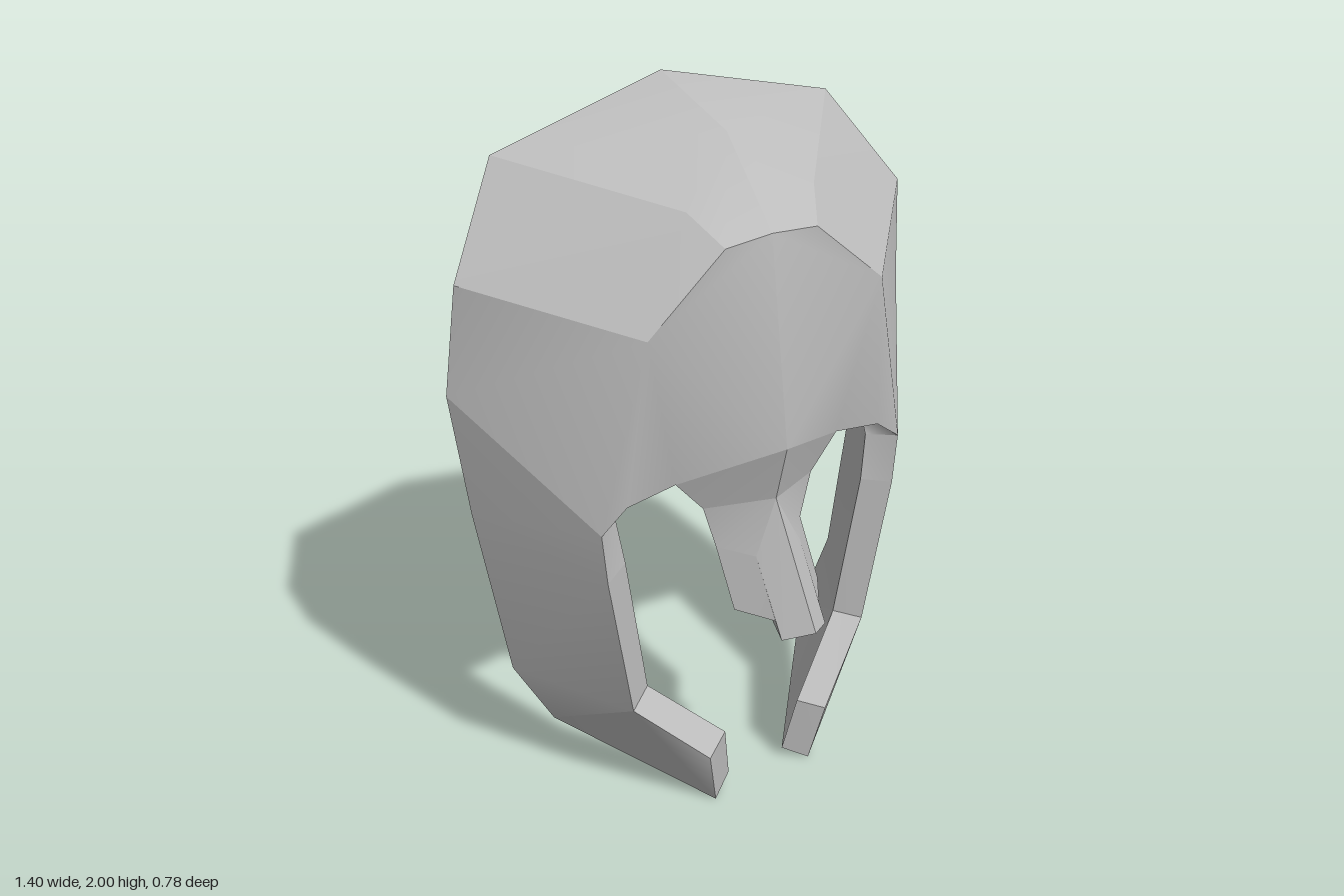
import * as THREE from 'three';

const THICKNESS = 0.09;

// Corners of the left half of the shell
const P = {
  // crown, from the back edge to the forehead
  top: [0, 2, -0.35], crown: [0, 1.93, -0.04], brow: [0, 1.74, 0.16],
  browSide: [0.13, 1.73, 0.16], crownSide: [0.18, 1.8, 0.07], temple: [0.34, 1.545, 0.155],
  // back edge
  b1: [0.49, 1.88, -0.32], b2: [0.66, 1.63, -0.2], b3: [0.7, 1.33, -0.23],
  b4: [0.67, 0.97, -0.23], b5: [0.6, 0.42, -0.235], b6: [0.49, 0.185, -0.23],
  // eye opening and front edge of the cheek
  eyeIn: [0.25, 1.1, 0.11], eyeTop: [0.39, 1.08, 0.11], eyeOut: [0.465, 1.02, 0.11],
  k1: [0.455, 0.87, 0.11], k2: [0.39, 0.4, 0.09], k3: [0.2, 0.2, 0.18], k4: [0.165, 0, 0.15],
  // nose guard
  bridge: [0, 1.19, 0.24], nose: [0, 1.02, 0.195], tip: [0, 0.705, 0.39],
  n1: [0.17, 1, 0.11], n2: [0.135, 0.87, 0.115], n3: [0.135, 0.72, 0.205],
  w2: [0.07, 0.87, 0.21], w3: [0.07, 0.72, 0.305], w4: [0.07, 0.675, 0.335],
};

// Inner corners along the back edge, chin and nose tip, where the rim is cut at its own angle
const CUT = {
  top: [0, 1.91, -0.39], b1: [0.44, 1.81, -0.37], b2: [0.6, 1.6, -0.28], b3: [0.64, 1.33, -0.305],
  b4: [0.605, 0.97, -0.28], b5: [0.53, 0.42, -0.28], b6: [0.43, 0.21, -0.28],
  k3: [0.125, 0.235, 0.14], k4: [0.095, 0.04, 0.11],
  tip: [0, 0.7, 0.3], w4: [0.05, 0.685, 0.26], w3: [0.05, 0.69, 0.22], n3: [0.09, 0.685, 0.15],
};

// Parts are lists of patches; a patch is a list of polygons shaded smoothly together
const PARTS = {
  crown: [
    ['top crown b1', 'crown crownSide b1', 'crown brow browSide crownSide'],
    ['crownSide temple b2 b1', 'crownSide browSide temple'],
  ],
  forehead: [['temple eyeOut b3 b2', 'temple browSide brow bridge eyeIn eyeTop eyeOut']],
  cheekGuard: [
    ['eyeOut k1 b4 b3', 'k1 k2 b5 b4', 'k2 b6 b5'],
    ['k2 k3 k4 b6'],
  ],
  noseGuard: [
    ['bridge nose n1 eyeIn'], ['nose w2 n2 n1'], ['w2 w3 n3 n2'], ['nose tip w4 w2'],
  ],
};

const corners = poly => poly.split(' ');
const fan = c => c.slice(2).map((_, i) => [c[0], c[i + 1], c[i + 2]]);

// Inner corners: each outer corner pushed inward along its averaged normal, unless cut
function innerCorners() {
  const normals = {};
  for (const k in P) normals[k] = new THREE.Vector3();
  const polys = Object.values(PARTS).flat(2);
  for (const tri of polys.flatMap(p => fan(corners(p)))) {
    const [a, b, c] = tri.map(k => new THREE.Vector3(...P[k]));
    const n = b.sub(a).cross(c.sub(a));
    tri.forEach(k => normals[k].add(n));
  }
  const inner = {};
  for (const k in P) {
    if (P[k][0] === 0) normals[k].x = 0;
    normals[k].normalize();
    inner[k] = normals[k].multiplyScalar(-THICKNESS).add(new THREE.Vector3(...P[k])).toArray();
  }
  return { ...inner, ...CUT };
}

// One smooth patch from triangles of named corners, mirrored when side is -1
function patchGeometry(tris, points, side) {
  const names = [...new Set(tris.flat())];
  const geo = new THREE.BufferGeometry();
  const pos = names.flatMap(k => [points[k][0] * side, points[k][1], points[k][2]]);
  geo.setAttribute('position', new THREE.Float32BufferAttribute(pos, 3));
  geo.setIndex(tris.flatMap(t => (side > 0 ? t : [...t].reverse()).map(k => names.indexOf(k))));
  geo.computeVertexNormals();
  return geo;
}

export function createModel() {
  const model = new THREE.Group();
  model.name = 'helmet';
  const metal = new THREE.MeshStandardMaterial({ color: 0xbcbcbc });
  metal.name = 'grey metal';
  const inner = innerCorners();

  // Points for rims: outer corners plus inner corners marked with a dash
  const both = { ...P };
  for (const k in inner) both['-' + k] = inner[k];

  // Edges used by one polygon only are open and need a rim
  const edges = new Set();
  for (const poly of Object.values(PARTS).flat(2)) {
    const c = corners(poly);
    c.forEach((a, i) => edges.add(a + ' ' + c[(i + 1) % c.length]));
  }
  const isOpen = (a, b) => !edges.has(b + ' ' + a) && (P[a][0] !== 0 || P[b][0] !== 0);

  for (const [side, label] of [[1, 'left'], [-1, 'right']]) {
    for (const part in PARTS) {
      const group = new THREE.Group();
      group.name = `${label} ${part}`;
      const add = (name, tris, points) => {
        const mesh = new THREE.Mesh(patchGeometry(tris, points, side), metal);
        mesh.name = name;
        group.add(mesh);
      };
      for (const patch of PARTS[part]) {
        const tris = patch.flatMap(p => fan(corners(p)));
        add('outer plate', tris, P);
        add('inner plate', tris.map(t => [...t].reverse()), inner);
        for (const poly of patch) {
          const c = corners(poly);
          c.forEach((a, i) => {
            const b = c[(i + 1) % c.length];
            if (isOpen(a, b)) add('rim', fan([b, a, '-' + a, '-' + b]), both);
          });
        }
      }
      model.add(group);
    }
  }
  return model;
}
